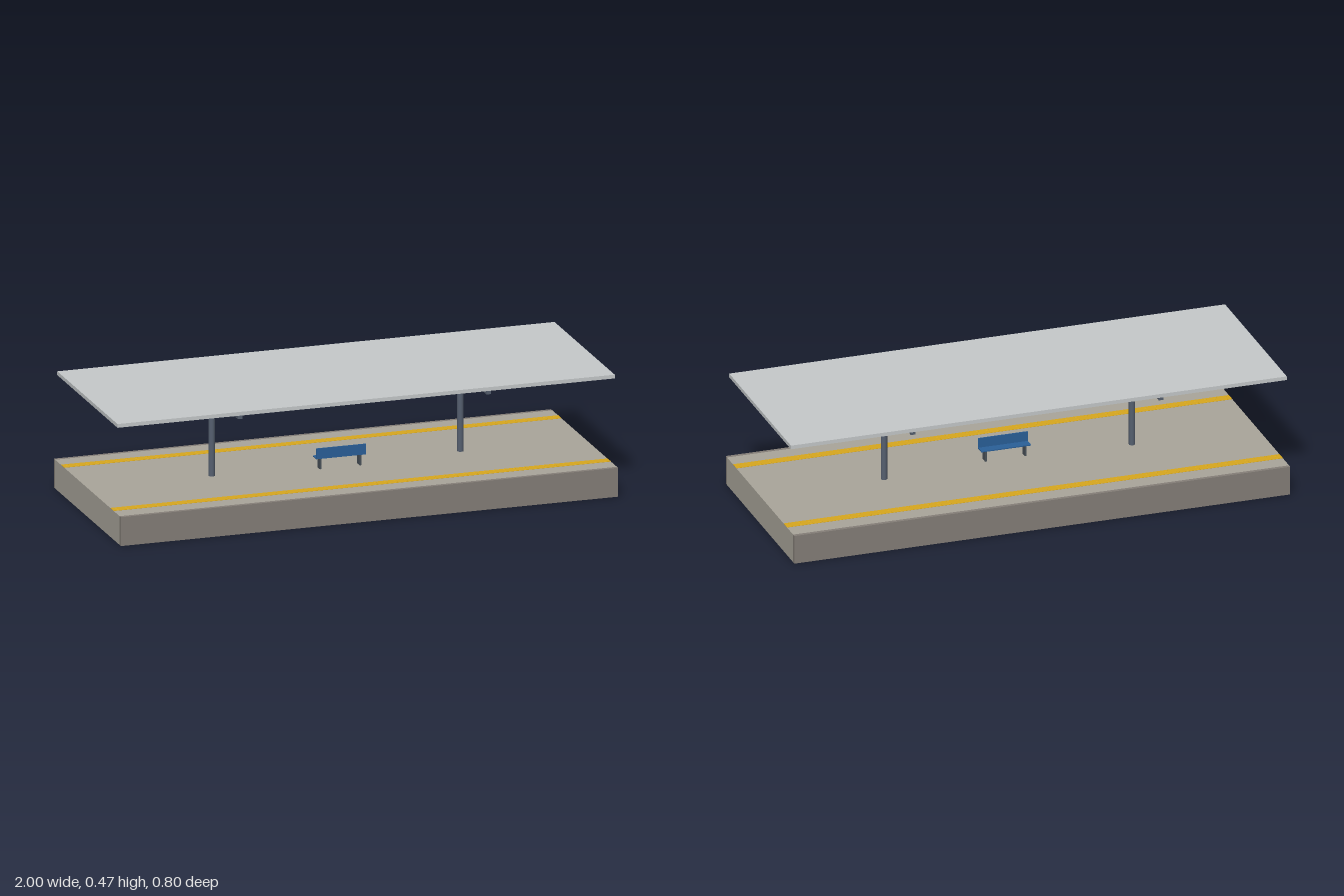
import * as THREE from 'three';
import { mergeGeometries } from 'three/addons/utils/BufferGeometryUtils.js';

const mat = (color) => new THREE.MeshStandardMaterial({ color });
const concrete = mat(0xaaa69b);
const edging = mat(0x857f78);
const yellow = mat(0xd9a81e);
const steel = mat(0x566070);
const darkSteel = mat(0x4a525a);
const roofing = mat(0xc6cacb);
const blue = mat(0x2a6099);

// Box given by its centre x and z, its bottom and top, and its width and depth
function box(name, material, x, z, y0, y1, w, d) {
  const mesh = new THREE.Mesh(new THREE.BoxGeometry(w, y1 - y0, d), material);
  mesh.position.set(x, (y0 + y1) / 2, z);
  mesh.name = name;
  return mesh;
}

export function createModel() {
  const model = new THREE.Group();
  model.name = 'stationPlatform';
  const floor = 0.115;

  // Platform slab with darker side walls
  model.add(box('platformSlab', concrete, 0, 0, 0, floor, 2, 0.77));
  for (const s of [-1, 1]) {
    model.add(box('edgeWall', edging, 0, s * 0.3925, 0, floor, 2, 0.015));

    // Warning strip with two rows of low studs
    const strip = new THREE.Group();
    strip.name = 'warningStrip';
    strip.add(box('stripBase', yellow, 0, s * 0.295, floor, floor + 0.001, 2, 0.04));
    const studs = [];
    for (let i = 0; i < 50; i++) {
      for (const dz of [-0.01, 0.01]) {
        const stud = new THREE.CylinderGeometry(0.005, 0.006, 0.001, 8);
        studs.push(stud.translate(-0.98 + i * 0.04, floor + 0.0015, s * 0.295 + dz));
      }
    }
    const studMesh = new THREE.Mesh(mergeGeometries(studs), yellow);
    studMesh.name = 'stripStuds';
    strip.add(studMesh);
    model.add(strip);

    // Post and the cross beam it carries
    const post = new THREE.Mesh(new THREE.CylinderGeometry(0.0125, 0.0125, 0.44 - floor, 16), steel);
    post.position.set(s * 0.5, (0.44 + floor) / 2, 0);
    post.name = 'canopyPost';
    model.add(post, box('canopyBeam', steel, s * 0.5, 0, 0.44, 0.46, 0.018, 0.68));
  }

  // Flat canopy roof
  model.add(box('canopyRoof', roofing, 0, 0, 0.46, 0.475, 2, 0.72));

  // Bench between the posts, its back towards the front
  const bench = new THREE.Group();
  bench.name = 'bench';
  bench.add(box('benchSeat', blue, 0, 0.04, 0.158, 0.162, 0.2, 0.04));
  bench.add(box('benchBack', blue, 0, 0.06, 0.162, 0.201, 0.2, 0.004));
  for (const s of [-1, 1]) {
    bench.add(box('benchLeg', darkSteel, s * 0.08, 0.04, floor, 0.158, 0.007, 0.03));
  }
  model.add(bench);
  return model;
}
